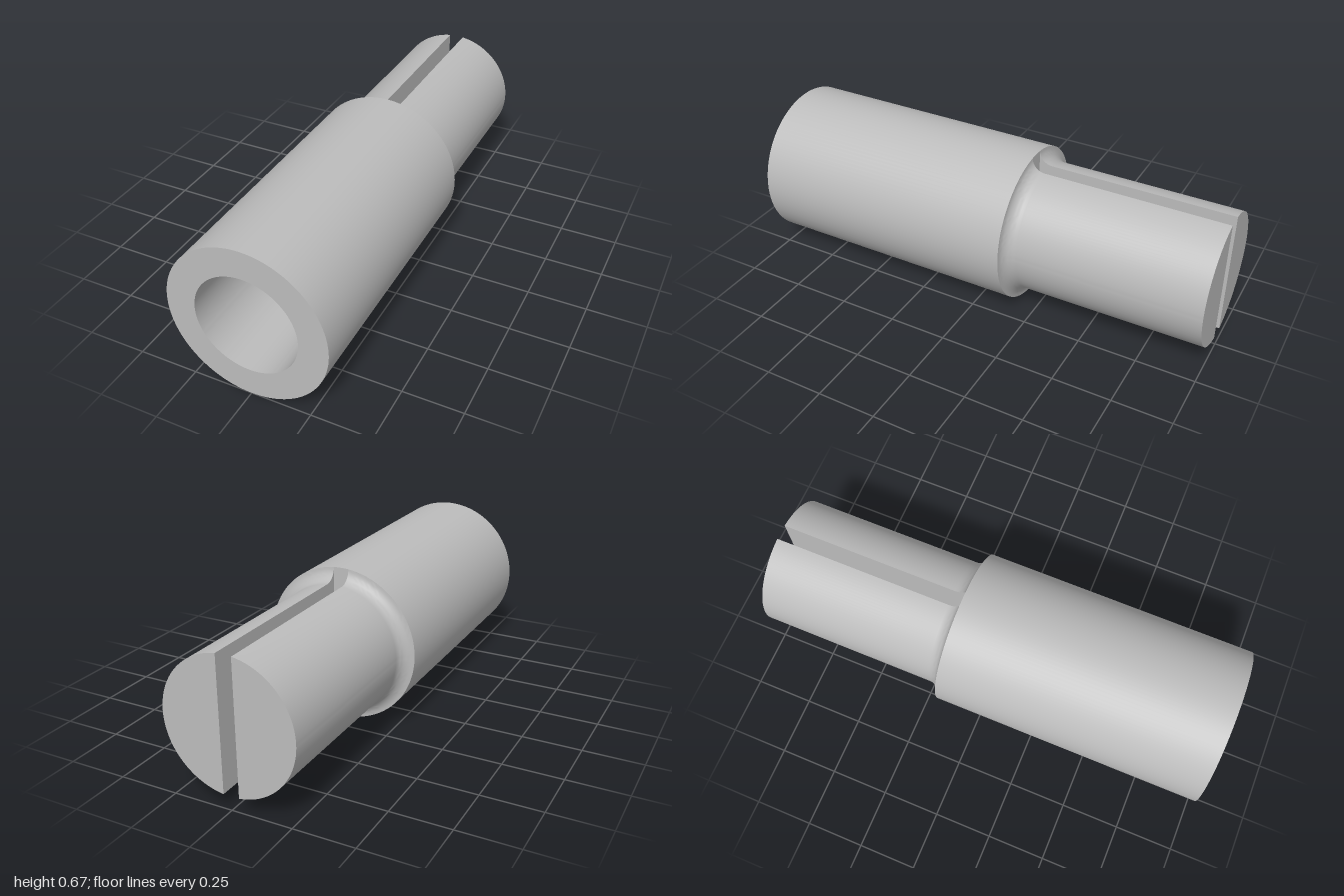
import * as THREE from 'three';
import { toCreasedNormals } from 'three/addons/utils/BufferGeometryUtils.js';

const R = 0.333;        // body radius
const BORE = 0.213;     // bore radius
const FILLET = 0.056;   // shoulder fillet radius
const SLOT = 0.033;     // half width of the slot
const SHOULDER = -0.167;
const V = THREE.Vector2;

// One side of the slotted shaft: circular segments lofted along z
function halfShaftGeometry() {
  const rows = [[-1, R - FILLET]];
  for (let i = 0; i <= 10; i++) {
    const t = (i / 10) * Math.PI / 2;
    rows.push([SHOULDER - FILLET + FILLET * Math.sin(t), R - FILLET * Math.cos(t)]);
  }
  const n = 64, pos = [], index = [];
  for (const [z, r] of rows) {
    const a = Math.acos(SLOT / r);
    for (let j = 0; j < n; j++) {
      const t = -a + (2 * a * j) / (n - 1);
      pos.push(r * Math.cos(t), r * Math.sin(t), z);
    }
  }
  // curved wall, with the last strip closing along the slot
  for (let i = 0; i < rows.length - 1; i++) {
    for (let j = 0; j < n; j++) {
      const k = (j + 1) % n;
      const a = i * n + j, b = i * n + k, c = a + n, d = b + n;
      index.push(a, b, c, b, d, c);
    }
  }
  // flat back end
  const centre = pos.length / 3;
  pos.push(SLOT, 0, -1);
  for (let j = 0; j < n - 1; j++) index.push(centre, j + 1, j);

  const geo = new THREE.BufferGeometry();
  geo.setAttribute('position', new THREE.Float32BufferAttribute(pos, 3));
  geo.setIndex(index);
  return toCreasedNormals(geo, 0.6);
}

export function createModel() {
  const group = new THREE.Group();
  group.name = 'slottedSleeve';
  const grey = new THREE.MeshStandardMaterial({ color: 0xbcbcbc });
  grey.name = 'grey metal';

  // Thick body with a blind bore at the front
  const profile = [
    new V(0, SHOULDER), new V(R, SHOULDER), new V(R, 1),
    new V(BORE, 1), new V(BORE, 0), new V(0, 0),
  ];
  const bodyGeo = new THREE.LatheGeometry(profile, 128);
  bodyGeo.rotateX(Math.PI / 2);
  const body = new THREE.Mesh(toCreasedNormals(bodyGeo, 0.6), grey);
  body.name = 'boredBody';
  body.position.y = R;
  group.add(body);

  // Two shaft halves on either side of the slot
  const halfGeo = halfShaftGeometry();
  ['leftShaftHalf', 'rightShaftHalf'].forEach((name, i) => {
    const half = new THREE.Mesh(halfGeo, grey);
    half.name = name;
    half.position.y = R;
    half.rotation.z = i * Math.PI;
    group.add(half);
  });
  return group;
}
